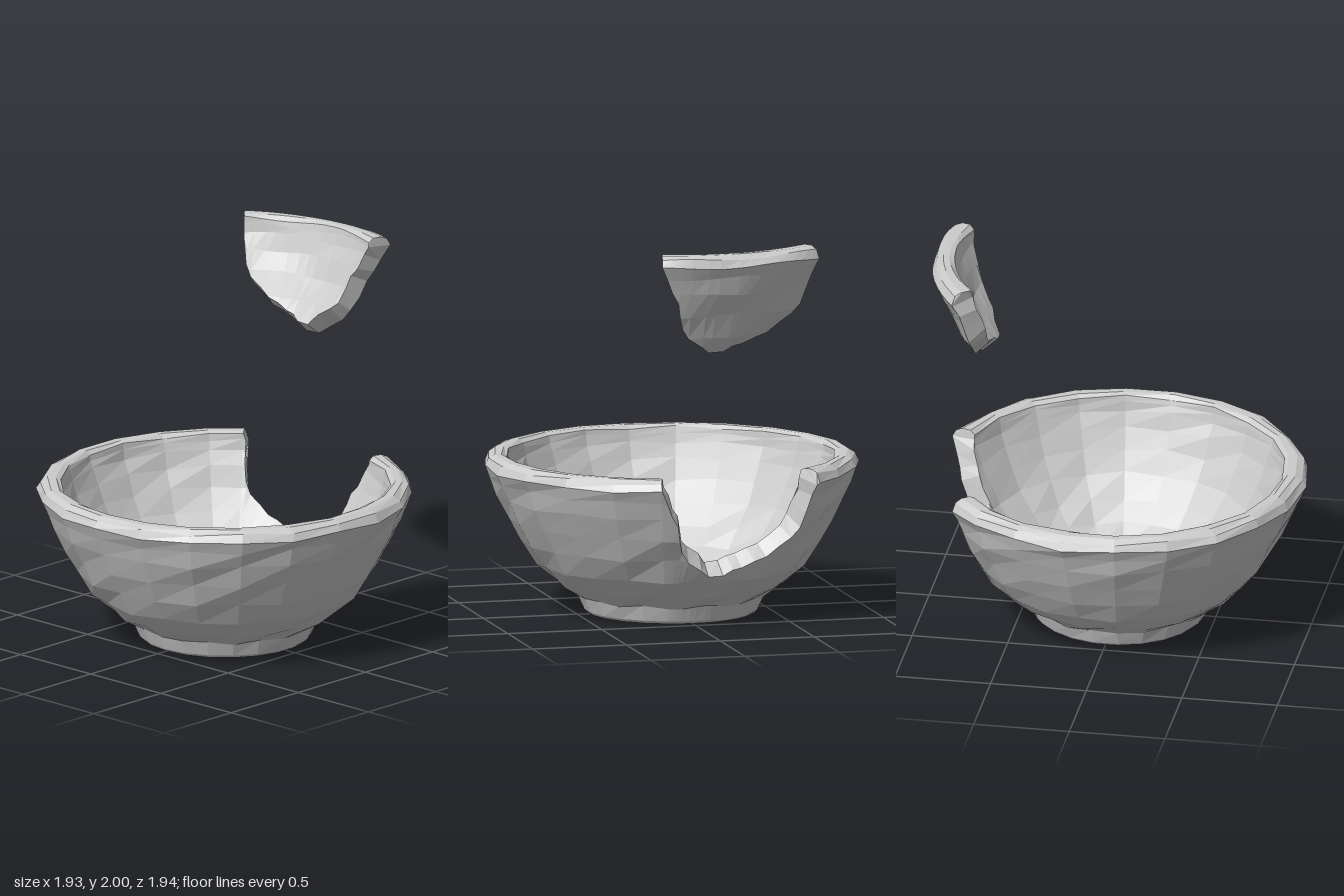
import * as THREE from 'three';

const LIFT = 1.17; // height the broken piece floats above its place
const TOP = 0.83;

// wall stations, bottom to rim: outer radius, outer height, inner radius, inner height
const wall = [
  [0.48, 0.09, 0.42, 0.18],
  [0.59, 0.16, 0.52, 0.25],
  [0.70, 0.26, 0.61, 0.34],
  [0.78, 0.38, 0.70, 0.45],
  [0.845, 0.5, 0.76, 0.56],
  [0.905, 0.62, 0.805, 0.66],
  [0.94, 0.71, 0.835, 0.74],
  [0.97, 0.77, 0.845, 0.785],
  [0.95, 0.81, 0.85, 0.815],
  [0.915, TOP, 0.875, TOP],
];
const rows = wall.map((w) => w[1]);

// fracture line: angle from the back in degrees, outer height of the break
const fracture = [
  [-37.3, TOP], [-36.4, 0.76], [-37, 0.69], [-36.2, 0.6], [-35.6, 0.53], [-33.5, 0.47],
  [-29, 0.42], [-25, 0.37], [-20, 0.35], [-15, 0.32], [-11, 0.31], [-7.5, 0.28],
  [-1, 0.28], [2.5, 0.33], [8, 0.37], [10.5, 0.42], [11.5, 0.5], [12.2, 0.57],
  [14.2, 0.63], [15.5, 0.7], [17.3, 0.77], [17.6, TOP],
];

function place(r, y, deg) {
  const a = THREE.MathUtils.degToRad(deg);
  return new THREE.Vector3(r * Math.sin(a), y, -r * Math.cos(a));
}

// point on the outer or inner wall, with a slight hand-made unevenness
function wallPoint(h, deg, inner) {
  let i = 0;
  while (i < wall.length - 2 && h > rows[i + 1]) i++;
  const t = (h - rows[i]) / (rows[i + 1] - rows[i]);
  const o = inner ? 2 : 0;
  const r = THREE.MathUtils.lerp(wall[i][o], wall[i + 1][o], t);
  const y = THREE.MathUtils.lerp(wall[i][o + 1], wall[i + 1][o + 1], t);
  const a = THREE.MathUtils.degToRad(deg);
  const wobble = Math.sin(a * 7 + h * 23 + o) * 0.005;
  const sag = h < TOP ? Math.sin(a * 9 + h * 31 + o) * 0.008 : 0;
  return place(r * (1 + wobble), y + sag, deg);
}

// skin neighbouring cross-sections, leaving out collapsed faces
function skin(sections, wrapAround, closedSection) {
  const pos = [];
  const tri = new THREE.Triangle();
  const add = (a, b, c) => {
    if (tri.set(a, b, c).getArea() > 1e-7) for (const p of [a, b, c]) pos.push(p.x, p.y, p.z);
  };
  const n = sections.length;
  const m = sections[0].length;
  for (let i = 0; i < (wrapAround ? n : n - 1); i++) {
    const s = sections[i];
    const t = sections[(i + 1) % n];
    for (let k = 0; k < (closedSection ? m : m - 1); k++) {
      const j = (k + 1) % m;
      add(s[k], s[j], t[k]);
      add(s[j], t[j], t[k]);
    }
  }
  const geo = new THREE.BufferGeometry();
  geo.setAttribute('position', new THREE.Float32BufferAttribute(pos, 3));
  geo.computeVertexNormals();
  return geo;
}

// foot, outer wall up to the break, inner wall down to the floor
function bowlSection([deg, cut]) {
  const hs = rows.map((h) => Math.min(h, cut));
  return [
    place(0, 0, deg),
    place(0.435, 0, deg),
    place(0.45, 0.015, deg),
    ...hs.map((h) => wallPoint(h, deg, false)),
    ...hs.reverse().map((h) => wallPoint(h, deg, true)),
    place(0.34, 0.12, deg),
    place(0, 0.12, deg),
  ];
}

// only the wall above the break
function shardSection([deg, cut]) {
  const hs = rows.map((h) => Math.max(h, cut));
  return [
    ...hs.map((h) => wallPoint(h, deg, false)),
    ...hs.reverse().map((h) => wallPoint(h, deg, true)),
  ];
}

export function createModel() {
  const group = new THREE.Group();
  const clay = new THREE.MeshStandardMaterial({ color: 0xcccccc, flatShading: true });

  // bowl: broken back columns, then whole columns around the rest
  const columns = [...fracture];
  for (let k = 2; k < 20; k++) columns.push([(k * 360) / 22, TOP]);
  const bowl = new THREE.Mesh(skin(columns.map(bowlSection), true, false), clay);
  bowl.name = 'brokenBowl';

  // broken piece floating above the gap
  const shard = new THREE.Mesh(skin(fracture.map(shardSection), false, true), clay);
  shard.name = 'shard';
  shard.position.y = LIFT;

  group.add(bowl, shard);
  return group;
}
